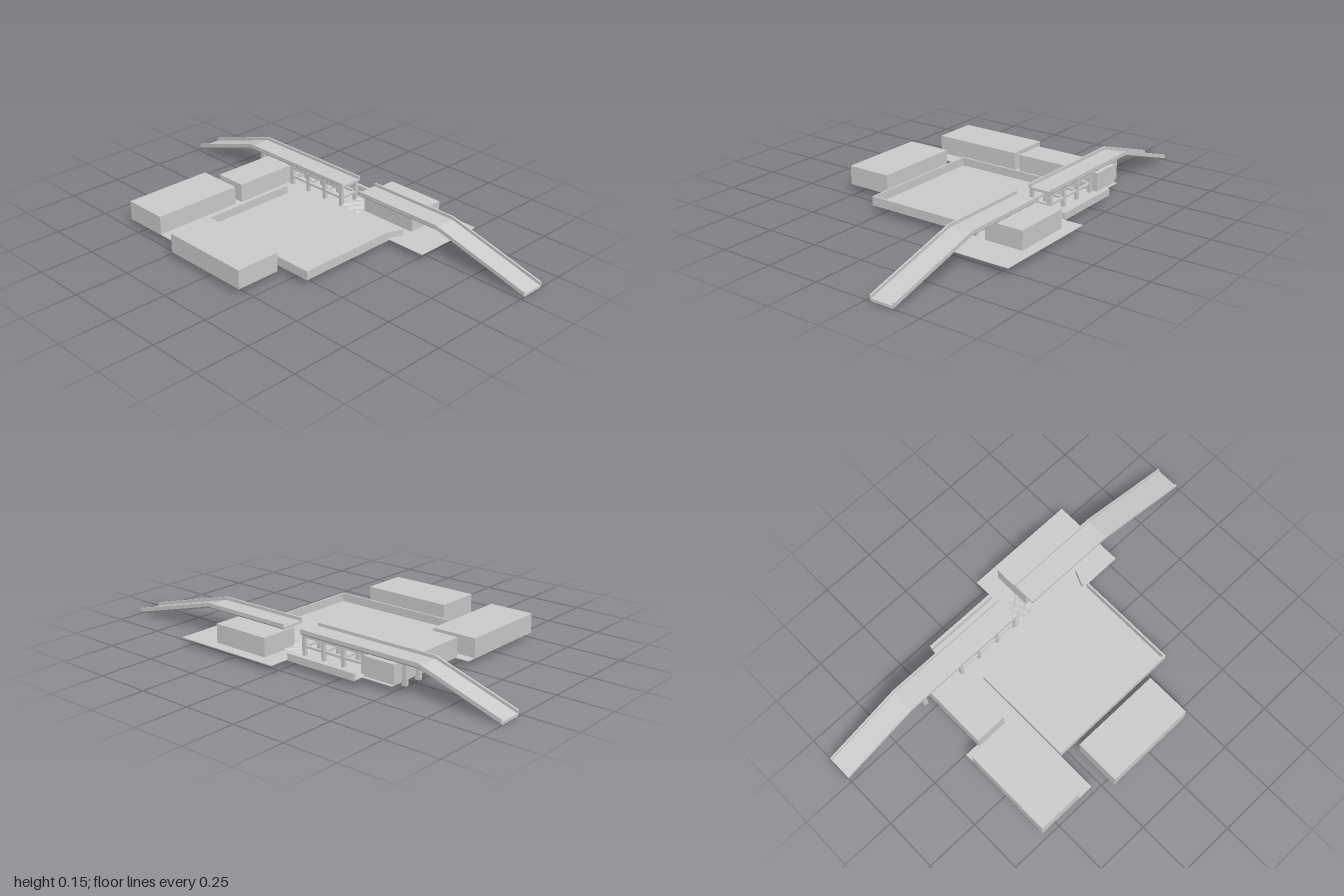
import * as THREE from 'three';

export function createModel() {
  const model = new THREE.Group();
  const concrete = new THREE.MeshStandardMaterial({ color: 0xcccccc });
  concrete.name = 'pale concrete';
  const GROUND = 0.037;

  // Box given by its limits on each axis
  function block(name, x0, x1, y0, y1, z0, z1) {
    const mesh = new THREE.Mesh(new THREE.BoxGeometry(x1 - x0, y1 - y0, z1 - z0), concrete);
    mesh.position.set((x0 + x1) / 2, (y0 + y1) / 2, (z0 + z1) / 2);
    mesh.name = name;
    model.add(mesh);
    return mesh;
  }

  // Ground plates
  const plates = [
    ['plazaFloor', -0.29, 0.345, -0.27, 0.295],
    ['leftPlate', -0.575, -0.29, 0.01, 0.48],
    ['backLeftPlate', -0.51, -0.29, -0.405, 0.01],
    ['backPlate', -0.36, 0, -0.455, -0.27],
    ['backRightPlate', 0, 0.53, -0.545, -0.27],
    ['rightPlate', 0.345, 0.53, -0.27, -0.195],
  ];
  for (const [name, x0, x1, z0, z1] of plates) block(name, x0, x1, GROUND - 0.003, GROUND, z0, z1);

  // Buildings
  const buildings = [
    ['frontBuilding', -0.215, 0.21, 0.33, 0.54],
    ['leftBuilding', -0.575, -0.365, 0.055, 0.48],
    ['backLeftBuilding', -0.51, -0.36, -0.392, 0.022],
    ['backRightBuilding', 0.085, 0.365, -0.495, -0.315],
  ];
  for (const [name, x0, x1, z0, z1] of buildings) block(name, x0, x1, GROUND - 0.002, 0.122, z0, z1);

  // Low walls around the plaza
  block('frontWall', -0.29, 0.345, GROUND, 0.075, 0.287, 0.295);
  block('rightWall', 0.337, 0.345, GROUND, 0.075, -0.188, 0.287);
  block('leftWall', -0.29, -0.282, GROUND, 0.075, -0.188, 0.287);
  block('backLowWall', -0.36, -0.005, GROUND, 0.066, -0.455, -0.44);
  const slanted = block('slantedWall', 0.335, 0.347, GROUND, 0.065, -0.272, -0.196);
  slanted.rotation.y = -0.4;

  // Open frames carrying the bridge
  for (let i = 0; i < 4; i++) {
    const x = -0.345 + i * 0.105;
    for (const z of [-0.375, -0.285]) block('framePost', x, x + 0.016, GROUND, 0.126, z, z + 0.016);
    block('frameCrossBeam', x, x + 0.016, 0.072, 0.082, -0.36, -0.285);
  }
  for (const z of [-0.375, -0.285]) {
    block('frameLongBeam', -0.345, -0.014, 0.072, 0.082, z + 0.002, z + 0.014);
    block('frameTopBeam', -0.345, -0.014, 0.115, 0.127, z + 0.002, z + 0.014);
  }
  for (const z of [-0.375, -0.29]) block('bridgePillar', -0.555, -0.535, GROUND, 0.127, z, z + 0.016);

  // Bridge: trough section with chamfered underside
  const section = new THREE.Shape([
    [-0.05, 0], [0.05, 0], [0.059, 0.008], [0.059, 0.026], [0.051, 0.026], [0.051, 0.012],
    [-0.051, 0.012], [-0.051, 0.026], [-0.059, 0.026], [-0.059, 0.008],
  ].map(([u, v]) => new THREE.Vector2(u, v)));

  // Extrude along x, then shear upward to follow the slope
  function span(name, x0, x1, y0, y1) {
    const geo = new THREE.ExtrudeGeometry(section, { depth: x1 - x0, bevelEnabled: false });
    geo.rotateY(Math.PI / 2);
    const p = geo.attributes.position;
    for (let i = 0; i < p.count; i++) p.setY(i, p.getY(i) + y0 + (y1 - y0) * p.getX(i) / (x1 - x0));
    geo.computeVertexNormals();
    const mesh = new THREE.Mesh(geo, concrete);
    mesh.position.set(x0, 0, -0.325);
    mesh.name = name;
    model.add(mesh);
  }
  span('rightRamp', -1, -0.62, 0.003, 0.126);
  span('rightDeck', -0.62, -0.012, 0.126, 0.126);
  span('leftDeck', 0.085, 0.535, 0.126, 0.126);
  span('leftRamp', 0.535, 1, 0.126, 0.003);

  // Uneven rubble under the gap
  const rubble = new THREE.PlaneGeometry(0.1, 0.11, 5, 5).rotateX(-Math.PI / 2).toNonIndexed();
  const rp = rubble.attributes.position;
  for (let i = 0; i < rp.count; i++) {
    rp.setY(i, 0.006 + 0.005 * Math.sin(rp.getX(i) * 130 + rp.getZ(i) * 70));
  }
  rubble.computeVertexNormals();
  const rubbleMesh = new THREE.Mesh(rubble, concrete);
  rubbleMesh.position.set(0.037, GROUND, -0.325);
  rubbleMesh.name = 'rubble';
  model.add(rubbleMesh);

  return model;
}
